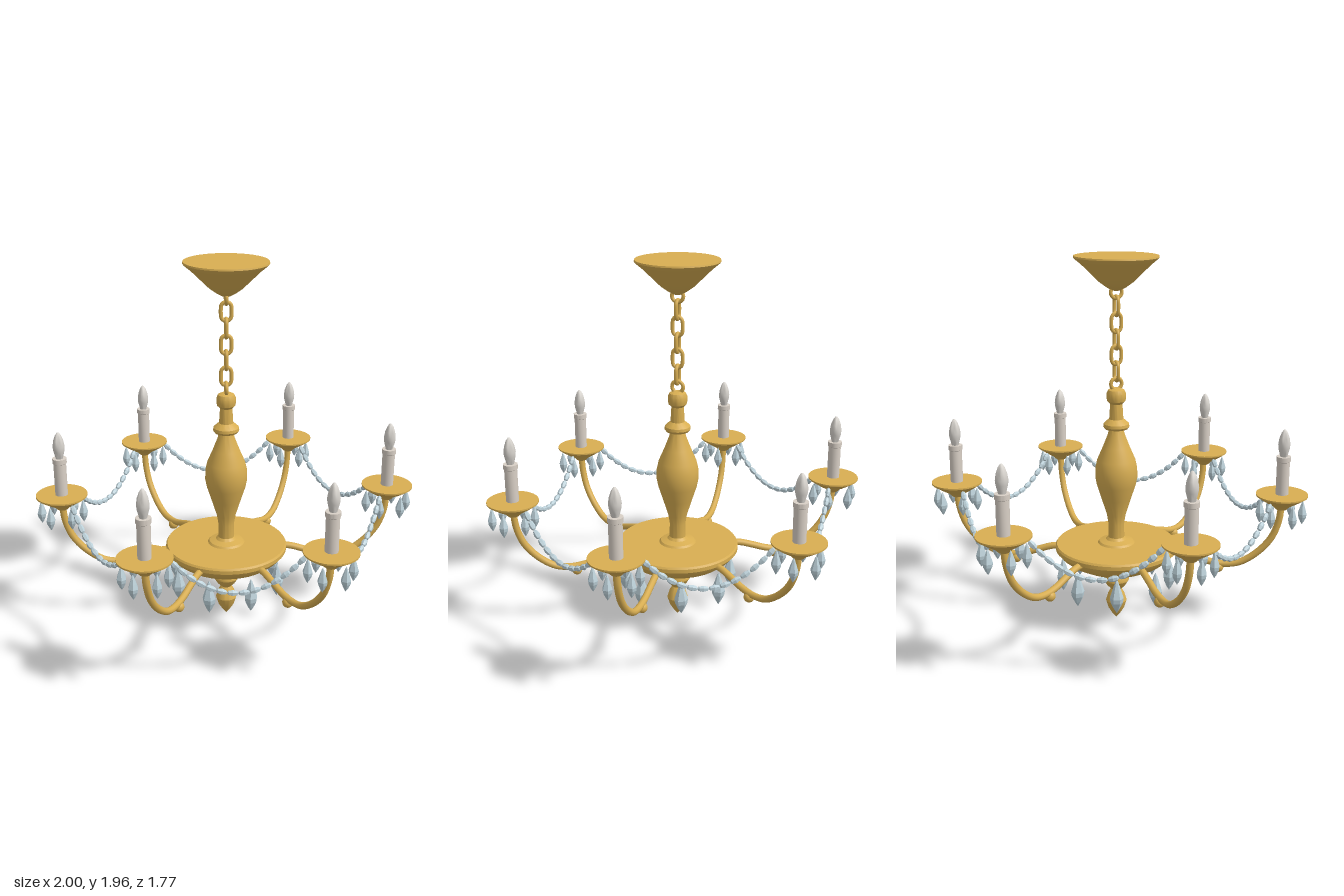
import * as THREE from 'three';
import { toCreasedNormals } from 'three/addons/utils/BufferGeometryUtils.js';

const brass = new THREE.MeshStandardMaterial({ color: 0xd8ae52 });
brass.name = 'brass';
const candleWhite = new THREE.MeshStandardMaterial({ color: 0xd9d0c6 });
candleWhite.name = 'candle white';
const bulbWhite = new THREE.MeshStandardMaterial({ color: 0xd8d4ce });
bulbWhite.name = 'bulb white';
const crystal = new THREE.MeshStandardMaterial({ color: 0xbdd1d9 });
crystal.name = 'crystal';
crystal.flatShading = true;

const ARMS = 6, ARM_R = 0.865;

function mesh(name, geometry, material, parent) {
  const m = new THREE.Mesh(geometry, material);
  m.name = name;
  parent.add(m);
  return m;
}

// Turned part: profile of [radius, height] from bottom to top, sharp edges kept
function turned(profile, sides = 40, crease = 0.5) {
  const pts = profile.map(([r, y]) => new THREE.Vector2(r, y));
  return toCreasedNormals(new THREE.LatheGeometry(pts, sides), crease);
}

// Faceted drop hanging down from its origin
function drop(length, radius) {
  const pts = [[0, -1], [0.45, -0.86], [0.9, -0.68], [1, -0.55], [0.7, -0.36], [0.25, -0.1], [0, 0]]
    .map(([r, y]) => new THREE.Vector2(r * radius, y * length));
  return new THREE.LatheGeometry(pts, 6);
}

// Oval chain link in the xy plane
function linkGeometry(radius, straight) {
  const pts = [];
  for (let i = 0; i < 16; i++) {
    const t = ((i + 0.5) / 16) * Math.PI * 2;
    pts.push(new THREE.Vector3(Math.cos(t) * radius, Math.sin(t) * radius + Math.sign(Math.sin(t)) * straight, 0));
  }
  return new THREE.TubeGeometry(new THREE.CatmullRomCurve3(pts, true), 32, 0.01, 8, true);
}

export function createModel() {
  const model = new THREE.Group();
  model.name = 'chandelier';

  // Central turned parts
  mesh('finial', turned([
    [0, 0], [0.022, 0.028], [0.043, 0.062], [0.056, 0.105], [0.044, 0.145], [0.028, 0.172],
    [0.05, 0.195], [0.068, 0.225], [0.068, 0.238], [0.055, 0.265], [0.04, 0.3],
  ]), brass, model);
  mesh('dish', turned([
    [0, 0.283], [0.06, 0.287], [0.13, 0.298], [0.2, 0.318], [0.26, 0.35], [0.3, 0.382], [0.316, 0.41],
    [0.325, 0.412], [0.325, 0.432], [0.318, 0.442], [0, 0.442],
  ], 48), brass, model);
  mesh('column', turned([
    [0.1, 0.44], [0.09, 0.452], [0.055, 0.462], [0.043, 0.475], [0.042, 0.55], [0.05, 0.6], [0.078, 0.69],
    [0.102, 0.765], [0.111, 0.81], [0.11, 0.86], [0.1, 0.905], [0.07, 0.975], [0.045, 1.04], [0.037, 1.07],
    [0.06, 1.073], [0.068, 1.085], [0.066, 1.1], [0.05, 1.115], [0.037, 1.125], [0.032, 1.205],
    [0.047, 1.22], [0.05, 1.235], [0.05, 1.26], [0.042, 1.278], [0.02, 1.288], [0, 1.288],
  ]), brass, model);
  mesh('ceilingCanopy', turned([
    [0, 1.785], [0.02, 1.787], [0.05, 1.803], [0.085, 1.828], [0.13, 1.872], [0.175, 1.916], [0.21, 1.945],
    [0.215, 1.952], [0.213, 1.96], [0, 1.96],
  ], 48), brass, model);

  // Chain of alternating links with a ring at each end
  const chain = new THREE.Group();
  chain.name = 'chain';
  model.add(chain);
  const link = linkGeometry(0.026, 0.022);
  const ring = new THREE.TorusGeometry(0.03, 0.01, 8, 24);
  [1.71, 1.625, 1.54, 1.46, 1.375].forEach((y, i) => {
    const m = mesh('chainLink', link, brass, chain);
    m.position.y = y;
    m.rotation.y = (i % 2) * Math.PI / 2;
  });
  for (const y of [1.778, 1.31]) {
    const m = mesh('chainRing', ring, brass, chain);
    m.position.y = y;
    m.rotation.y = Math.PI / 2;
  }

  // Shared geometry for the arms
  const armPath = new THREE.CatmullRomCurve3([
    [0.26, 0.405], [0.34, 0.405], [0.42, 0.382], [0.5, 0.356], [0.58, 0.346], [0.66, 0.36],
    [0.75, 0.42], [0.82, 0.505], [0.855, 0.6], [ARM_R, 0.68],
  ].map(([x, y]) => new THREE.Vector3(x, y, 0)));
  const armGeo = new THREE.TubeGeometry(armPath, 48, 0.018, 10);
  const knobGeo = new THREE.SphereGeometry(0.028, 16, 12);
  const panGeo = turned([
    [0, 0.665], [0.028, 0.667], [0.045, 0.685], [0.08, 0.706], [0.12, 0.732], [0.134, 0.742], [0.134, 0.75], [0, 0.75],
  ], 32);
  const candleGeo = turned([
    [0.033, 0.748], [0.033, 0.925], [0.037, 0.928], [0.037, 0.953], [0, 0.953],
  ], 20);
  const bulbGeo = turned([
    [0.018, 0.95], [0.022, 0.968], [0.029, 0.995], [0.031, 1.018], [0.026, 1.05], [0.016, 1.078], [0.006, 1.093], [0, 1.096],
  ], 16, 0.8);
  const smallDrop = drop(0.13, 0.025);
  const largeDrop = drop(0.19, 0.036);
  const beadGeo = new THREE.SphereGeometry(1, 6, 4);
  beadGeo.scale(0.016, 0.029, 0.016);

  // Garland in the xy plane, hung between two neighbouring pans
  const garlandPath = new THREE.CatmullRomCurve3(Array.from({ length: 13 }, (_, i) => {
    const u = i / 6 - 1;
    return new THREE.Vector3(u * 0.315, 0.547 + 0.18 * u * u, 0);
  }));
  const up = new THREE.Vector3(0, 1, 0);
  const BEADS = 14;

  for (let i = 0; i < ARMS; i++) {
    const angle = (i / ARMS) * Math.PI * 2;

    const arm = new THREE.Group();
    arm.name = 'candleArm';
    arm.rotation.y = angle;
    model.add(arm);
    mesh('arm', armGeo, brass, arm);
    mesh('armKnob', knobGeo, brass, arm).position.set(0.548, 0.326, 0);
    mesh('dripPan', panGeo, brass, arm).position.x = ARM_R;
    mesh('candle', candleGeo, candleWhite, arm).position.x = ARM_R;
    mesh('flameBulb', bulbGeo, bulbWhite, arm).position.x = ARM_R;

    // Crystal drops around the pan
    for (let k = 0; k < 6; k++) {
      const a = (k / 6) * Math.PI * 2;
      const d = mesh('panDrop', smallDrop, crystal, arm);
      d.position.set(ARM_R + Math.cos(a) * 0.109, 0.717, Math.sin(a) * 0.109);
      d.rotation.y = -a;
    }

    // Bead garland to the next arm
    const garland = new THREE.Group();
    garland.name = 'garland';
    garland.rotation.y = angle;
    model.add(garland);
    for (let k = 0; k < BEADS; k++) {
      const t = (k + 0.5) / BEADS;
      const bead = mesh('bead', beadGeo, crystal, garland);
      bead.position.copy(garlandPath.getPointAt(t));
      bead.position.z = ARM_R * Math.cos(Math.PI / 6);
      bead.quaternion.setFromUnitVectors(up, garlandPath.getTangentAt(t));
    }
  }

  // Large crystal drops beneath the dish
  for (let k = 0; k < 8; k++) {
    const a = ((k + 0.5) / 8) * Math.PI * 2;
    const d = mesh('dishDrop', largeDrop, crystal, model);
    d.position.set(Math.cos(a) * 0.287, 0.35, Math.sin(a) * 0.287);
    d.rotation.y = -a;
  }

  return model;
}
